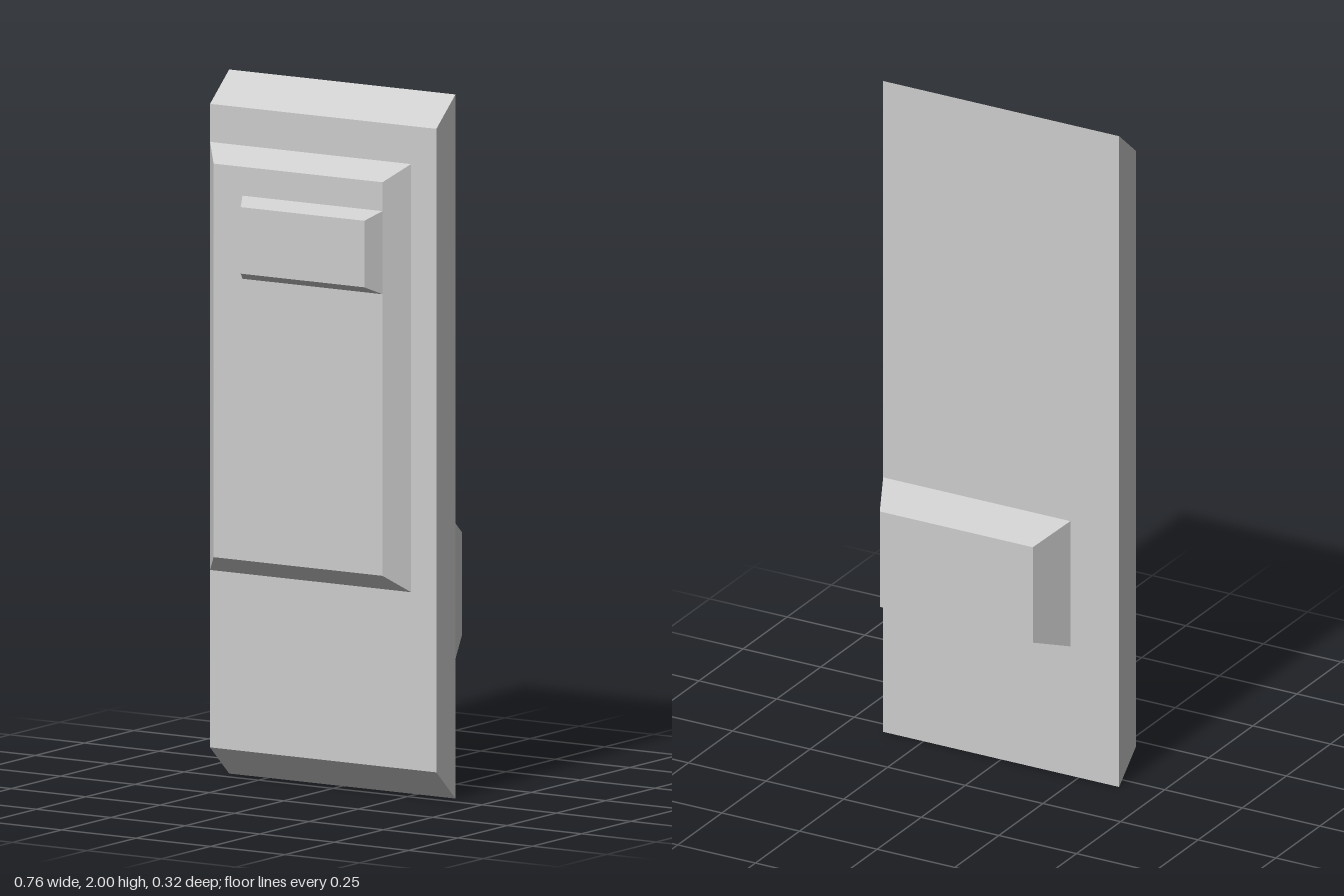
import * as THREE from 'three';

const material = new THREE.MeshStandardMaterial({ color: 0xcccccc, flatShading: true });

// Bevelled block between two rectangles [x0, x1, y0, y1], one at zBack and one at zFront
function bevelBlock(name, back, zBack, front, zFront) {
  const geometry = new THREE.BoxGeometry(1, 1, 1);
  const p = geometry.attributes.position;
  for (let i = 0; i < p.count; i++) {
    const isFront = p.getZ(i) > 0;
    const r = isFront ? front : back;
    p.setXYZ(i, r[p.getX(i) > 0 ? 1 : 0], r[p.getY(i) > 0 ? 3 : 2], isFront ? zFront : zBack);
  }
  geometry.computeVertexNormals();
  const mesh = new THREE.Mesh(geometry, material);
  mesh.name = name;
  return mesh;
}

export function createModel() {
  const group = new THREE.Group();
  group.name = 'panel';
  group.add(
    // Tall slab, bevelled at top and bottom towards the front
    bevelBlock('slab', [-0.38, 0.38, 0, 2], -0.047, [-0.38, 0.38, 0.088, 1.916], 0.05),
    // Raised panel, flush with the right edge of the slab
    bevelBlock('raisedPanel', [-0.38, 0.295, 0.592, 1.808], 0.05, [-0.327, 0.24, 0.642, 1.76], 0.112),
    // Small plate on the raised panel
    bevelBlock('frontPlate', [-0.23, 0.24, 1.442, 1.678], 0.112, [-0.203, 0.212, 1.466, 1.655], 0.162),
    // Block on the back, flush with the left edge of the slab
    bevelBlock('backBlock', [-0.168, 0.325, 0.442, 0.735], -0.163, [-0.223, 0.38, 0.397, 0.782], -0.047),
  );
  return group;
}
